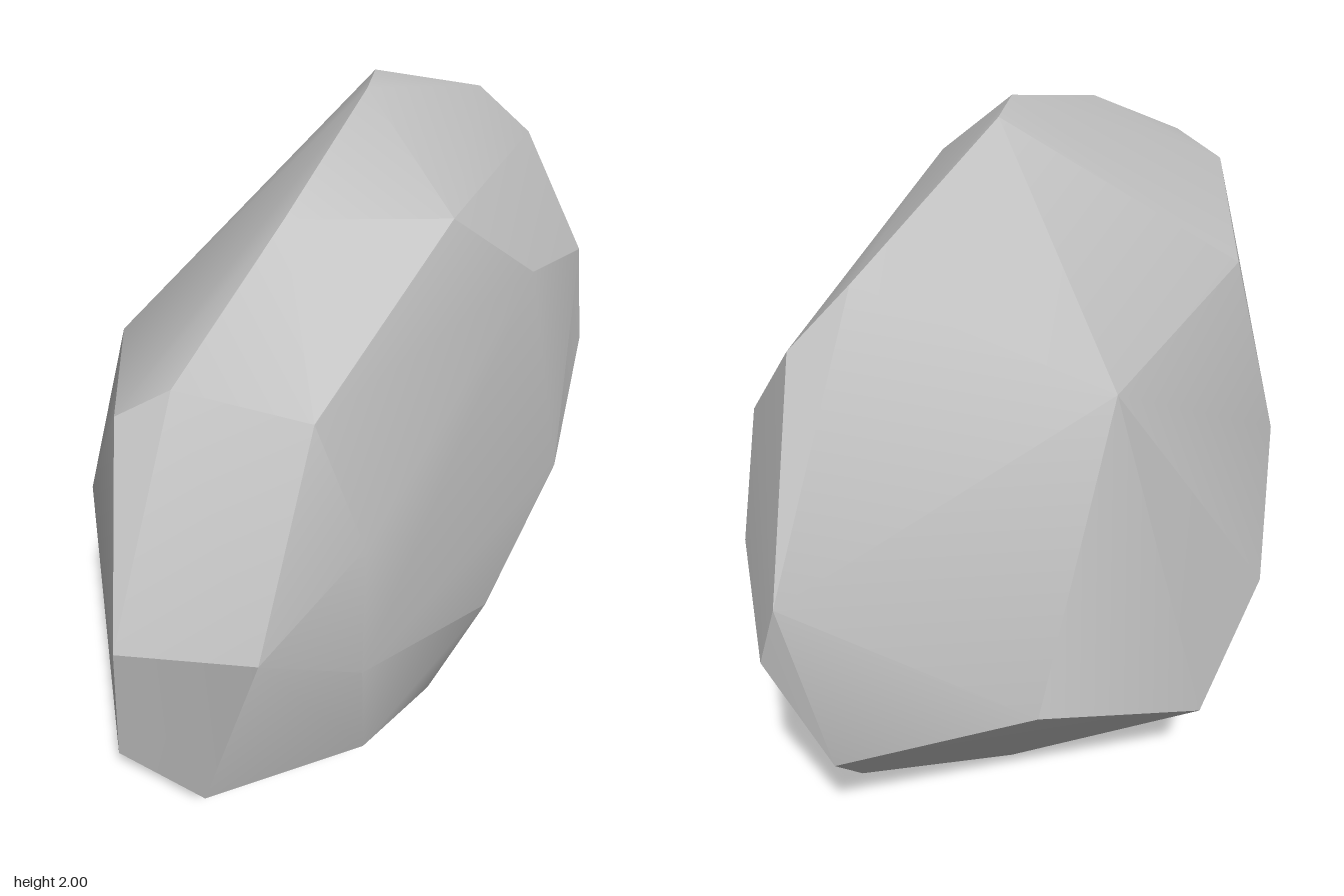
import * as THREE from 'three';
import { ConvexGeometry } from 'three/addons/geometries/ConvexGeometry.js';
import { toCreasedNormals } from 'three/addons/utils/BufferGeometryUtils.js';

// Corners of the stone, grouped in layers from front to back
const frontFace = [
  [0.26, 1.53], [0.53, 0.74], [0.17, 0.47], [-0.47, 0.75], [-0.47, 1.16],
].map(([x, y]) => [x, y, 0.47]);

const frontBevel = [
  [-0.01, 1.78], [0.70, 1.35], [0.78, 1.01], [0.01, 0.22],
  [-0.33, 0.29], [-0.78, 0.99], [-0.56, 1.54],
].map(([x, y]) => [x, y, 0.39]);

const rim = [
  [0.05, 2.00, 0.11], [0.16, 1.99, 0.06], [0.66, 1.76, 0.07], [0.77, 1.61, 0.17],
  [0.99, 1.08, 0.06], [0.99, 0.89, 0.13], [0.86, 0.50, 0.06], [0.67, 0.26, 0.17],
  [0.17, 0.01, 0.06], [-0.10, 0.00, 0.13], [-0.54, 0.16, 0.06], [-0.74, 0.33, 0.17],
  [-0.92, 0.61, 0.06], [-1.00, 1.08, 0.16], [-0.82, 1.58, 0.06], [-0.76, 1.66, 0.17],
  [-0.36, 1.87, 0.17],
];

const backFace = [
  [0.26, 1.45, -0.36], [0.56, 0.67, -0.355], [-0.01, 0.35, -0.47],
  [-0.32, 0.61, -0.455], [-0.51, 0.98, -0.345], [-0.45, 1.48, -0.24],
];

export function createModel() {
  const group = new THREE.Group();
  group.name = 'rock';

  const stoneGrey = new THREE.MeshStandardMaterial({ color: 0xc6c6c6 });
  stoneGrey.name = 'stone grey';

  // Faceted boulder: soft shading over shallow edges, hard sharp ones
  const points = [...frontFace, ...frontBevel, ...rim, ...backFace]
    .map((p) => new THREE.Vector3(...p));
  const geometry = toCreasedNormals(new ConvexGeometry(points), THREE.MathUtils.degToRad(30));
  const boulder = new THREE.Mesh(geometry, stoneGrey);
  boulder.name = 'boulder';
  group.add(boulder);

  return group;
}
